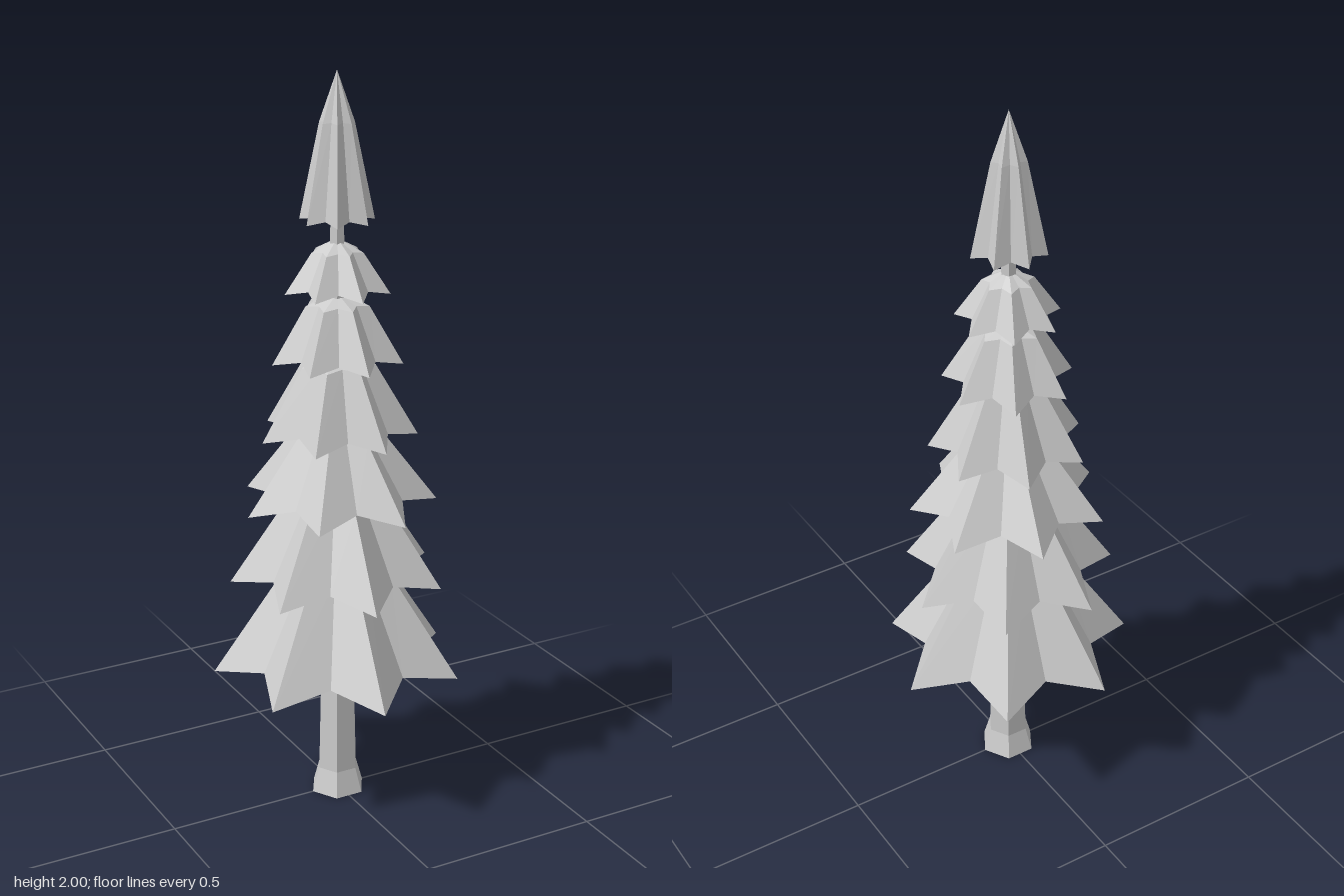
import * as THREE from 'three';

const POINTS = 7; // branch tips on every tier

// tip radius, tip height, shoulder radius, shoulder height, apex height, turn in degrees
const TIERS = [
  [0.339, 0.38, 0.150, 0.66, 0.71, -6],
  [0.290, 0.64, 0.135, 0.87, 0.92, -5],
  [0.265, 0.86, 0.120, 1.05, 1.10, 25.4],
  [0.212, 1.05, 0.100, 1.24, 1.28, 30.5],
  [0.174, 1.25, 0.085, 1.40, 1.43, 39],
  [0.139, 1.435, 0.068, 1.54, 1.575, 39],
  [0.099, 1.62, 0.046, 1.87, 2.00, -88],
];

// One closed star-shaped skirt: hollowed underside, rim, shoulder and apex
function starSkirt([tipR, tipY, shoulderR, shoulderY, apexY, turn]) {
  const drop = 0.1 * tipR;
  const start = THREE.MathUtils.degToRad(turn);
  const rings = [
    () => [0, tipY + drop * 1.5],
    (tip) => (tip ? [tipR, tipY] : [tipR * 0.7, tipY + drop]),
    (tip) => (tip ? [shoulderR, shoulderY] : [shoulderR * 0.72, shoulderY + drop * 0.3]),
    () => [0, apexY],
  ];
  const corner = (ring, i) => {
    const [r, y] = rings[ring](i % 2 === 0);
    const a = start + (i * Math.PI) / POINTS;
    return [r * Math.cos(a), y, r * Math.sin(a)];
  };
  const positions = [];
  for (let ring = 0; ring < rings.length - 1; ring++) {
    for (let i = 0; i < POINTS * 2; i++) {
      const la = corner(ring, i), lb = corner(ring, i + 1);
      const ua = corner(ring + 1, i), ub = corner(ring + 1, i + 1);
      if (ring > 0) positions.push(...la, ...ua, ...lb);
      if (ring < rings.length - 2) positions.push(...lb, ...ua, ...ub);
    }
  }
  const geometry = new THREE.BufferGeometry();
  geometry.setAttribute('position', new THREE.Float32BufferAttribute(positions, 3));
  geometry.computeVertexNormals();
  return geometry;
}

export function createModel() {
  const tree = new THREE.Group();
  tree.name = 'tree';
  const grey = new THREE.MeshStandardMaterial({ color: 0xcccccc, flatShading: true });
  grey.name = 'plainGrey';

  const add = (name, geometry) => {
    const mesh = new THREE.Mesh(geometry, grey);
    mesh.name = name;
    tree.add(mesh);
    return mesh;
  };

  // Six-sided trunk with a flared foot
  const addTrunkPiece = (name, topR, bottomR, y0, y1) => {
    const piece = add(name, new THREE.CylinderGeometry(topR, bottomR, y1 - y0, 6));
    piece.position.y = (y0 + y1) / 2;
    piece.rotation.y = Math.PI / 6;
  };
  addTrunkPiece('trunkFoot', 0.058, 0.078, 0, 0.07);
  addTrunkPiece('trunk', 0.018, 0.058, 0.07, 1.68);

  // Branch tiers from the ground up
  TIERS.forEach((tier, i) => add(`branchTier${i + 1}`, starSkirt(tier)));

  return tree;
}
